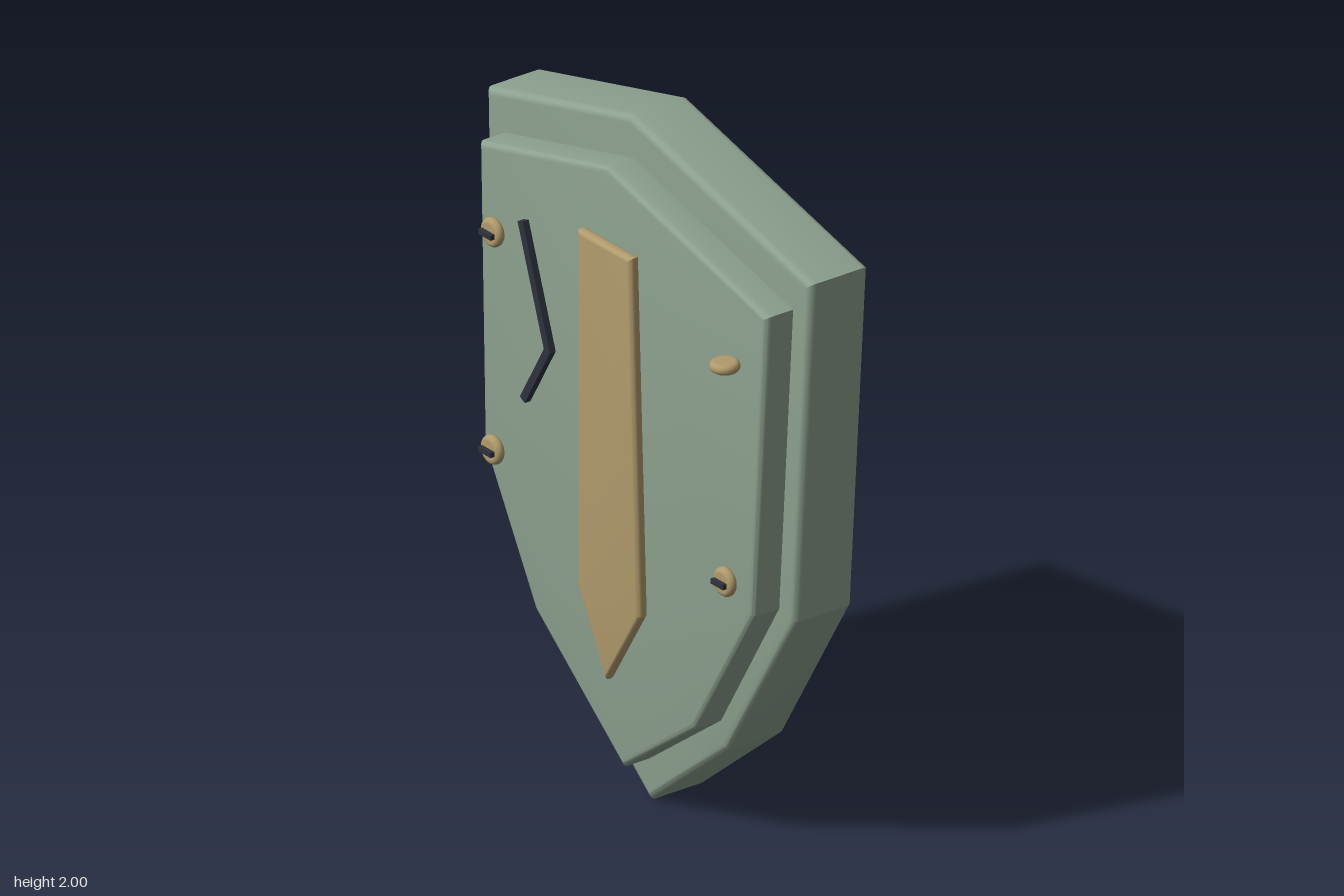
import * as THREE from 'three';
import { toCreasedNormals } from 'three/addons/utils/BufferGeometryUtils.js';
import { ConvexGeometry } from 'three/addons/geometries/ConvexGeometry.js';

const TURN = THREE.MathUtils.degToRad(10);
const C = Math.cos(TURN), S = Math.sin(TURN);

// Sideways position in the turned shield for a front-on x at depth w
const across = (x, w) => (x + w * S) / C;

function material(name, color) {
  const m = new THREE.MeshStandardMaterial({ color });
  m.name = name;
  return m;
}

// Plate with rounded edges between depths back and front; outline lies on the front face
function plate(name, points, back, front, bevel, mat) {
  const shape = new THREE.Shape(points.map(([x, y]) => new THREE.Vector2(across(x, front), y)));
  const geo = new THREE.ExtrudeGeometry(shape, {
    depth: front - back - 2 * bevel, bevelEnabled: true, bevelThickness: bevel,
    bevelSize: bevel, bevelOffset: -bevel, bevelSegments: 5,
  });
  geo.translate(0, 0, back + bevel);
  const mesh = new THREE.Mesh(toCreasedNormals(geo, 0.35), mat);
  mesh.name = name;
  return mesh;
}

export function createModel() {
  const green = material('sage green', 0x8ca08e);
  const gold = material('dull gold', 0xb09a6c);
  const dark = material('dark slate', 0x2e323c);

  const model = new THREE.Group();
  model.name = 'shield';
  const body = new THREE.Group();
  body.name = 'shieldBody';
  body.rotation.y = -TURN;
  model.add(body);

  // Two stacked shield plates
  body.add(plate('outerPlate', [
    [-0.72, 1.84], [-0.10, 2.0], [0.68, 1.80], [0.61, 0.77],
    [0.32, 0.28], [-0.015, 0], [-0.445, 0.37], [-0.695, 0.83],
  ], -0.168, 0.03, 0.022, green));
  body.add(plate('innerPlate', [
    [-0.65, 1.74], [-0.10, 1.88], [0.59, 1.70], [0.53, 0.79],
    [0.28, 0.36], [-0.03, 0.125], [-0.41, 0.445], [-0.63, 0.85],
  ], 0.0, 0.12, 0.018, green));

  // Pointed emblem bar
  body.add(plate('emblemBar', [
    [-0.165, 1.69], [0.065, 1.69], [0.103, 0.64], [-0.042, 0.40], [-0.165, 0.64],
  ], 0.143, 0.178, 0.014, gold));

  // Bent scratch made of two thin bars
  const scratch = [[-0.415, 1.605], [-0.302, 1.27], [-0.405, 1.09]]
    .map(([x, y]) => new THREE.Vector3(across(x, 0.157), y, 0.157));
  for (let i = 0; i < 2; i++) {
    const d = scratch[i + 1].clone().sub(scratch[i]);
    const bar = new THREE.Mesh(new THREE.BoxGeometry(0.024, d.length() + 0.012, 0.02), dark);
    bar.name = 'scratch';
    bar.position.copy(scratch[i]).addScaledVector(d, 0.5);
    bar.rotation.z = Math.atan2(-d.x, d.y);
    body.add(bar);
  }

  // Round rivet heads, three with a slot
  const profile = [new THREE.Vector2(0, -0.015)];
  for (let i = 0; i <= 8; i++) {
    const a = -Math.PI / 2 + (Math.PI * i) / 8;
    profile.push(new THREE.Vector2(0.028 + 0.014 * Math.cos(a), 0.015 * Math.sin(a)));
  }
  profile.push(new THREE.Vector2(0, 0.015));
  const headGeo = new THREE.LatheGeometry(profile, 28);
  for (const [x, y] of [[-0.54, 1.53], [-0.54, 0.885], [0.46, 0.885]]) {
    const rivet = new THREE.Group();
    rivet.name = 'rivet';
    rivet.position.set(across(x, 0.164), y, 0.164);
    const head = new THREE.Mesh(headGeo, gold);
    head.name = 'rivetHead';
    head.rotation.x = Math.PI / 2;
    const slot = new THREE.Mesh(new THREE.BoxGeometry(0.054, 0.015, 0.02), dark);
    slot.name = 'rivetSlot';
    slot.position.z = 0.018;
    rivet.add(head, slot);
    body.add(rivet);
  }

  // Loose rivet lying flat
  const loose = new THREE.Mesh(headGeo, gold);
  loose.name = 'looseRivet';
  loose.position.set(0.458, 1.525, 0.246);
  model.add(loose);

  // Tapered wedge on the back
  const wedge = [];
  for (const side of [-1, 1]) {
    for (const [u, y, w] of [[0.095, 1.08, -0.15], [0.08, 1.065, -0.197], [0.06, 0.93, -0.174], [0.06, 0.93, -0.15]]) {
      wedge.push(new THREE.Vector3(side * u - 0.012, y, w));
    }
  }
  const clip = new THREE.Mesh(new ConvexGeometry(wedge), gold);
  clip.name = 'backWedge';
  body.add(clip);

  return model;
}
